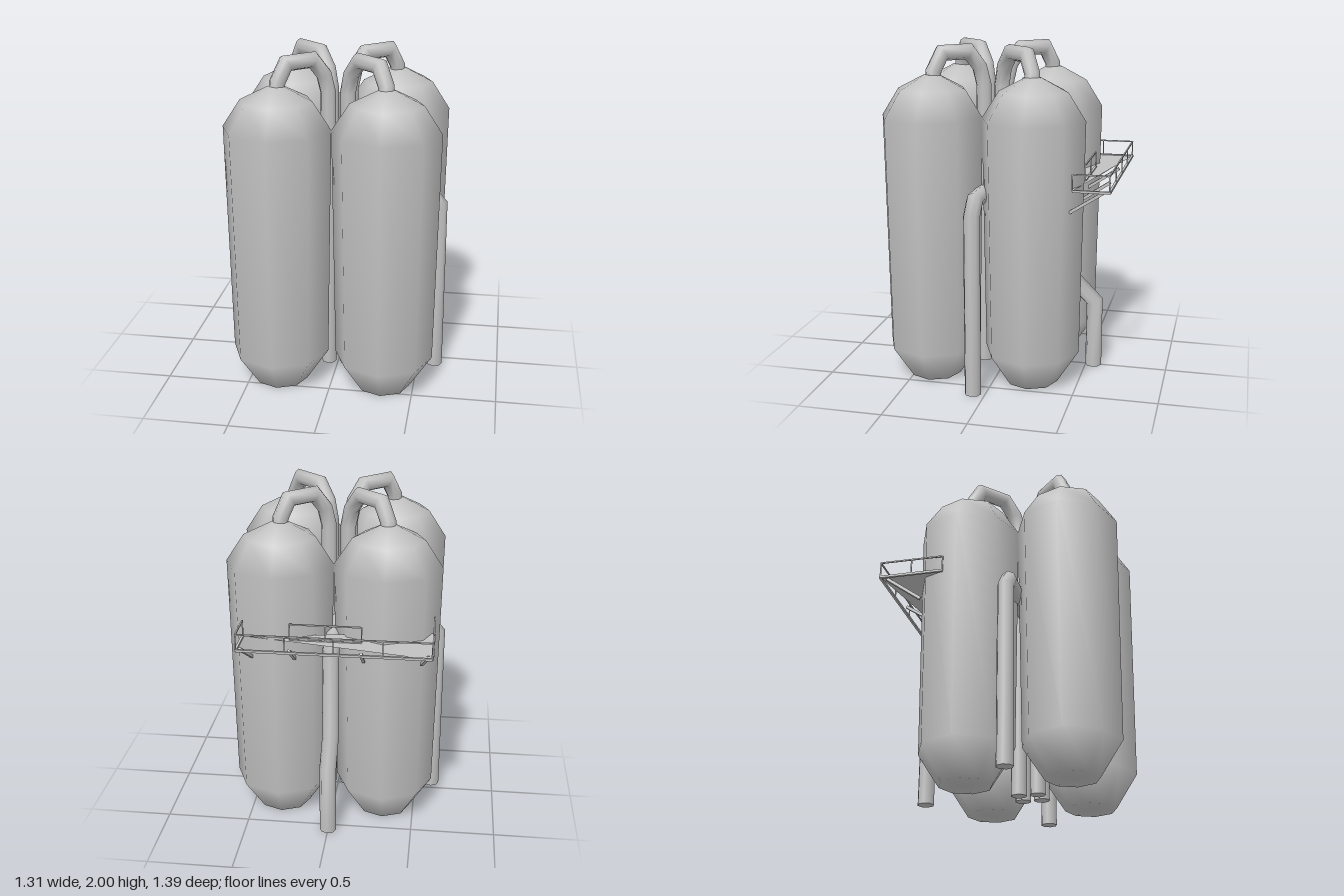
import * as THREE from 'three';

const V = (x, y, z) => new THREE.Vector3(x, y, z);
const grey = new THREE.MeshStandardMaterial({ color: 0xc0c0c0 });
grey.name = 'light grey steel';
const sheet = new THREE.MeshStandardMaterial({ color: 0xc0c0c0, side: THREE.DoubleSide });
sheet.name = 'light grey sheet';

function mesh(parent, name, geometry, material = grey) {
  const m = new THREE.Mesh(geometry, material);
  m.name = name;
  parent.add(m);
  return m;
}

// Mitred pipe along a path lying in one vertical plane with the given normal
function pipeGeometry(path, normal, radius, sides = 8) {
  const pos = [], index = [];
  const dirs = path.slice(1).map((p, i) => p.clone().sub(path[i]).normalize());
  const ring = (i) => {
    const a = dirs[Math.max(i - 1, 0)], b = dirs[Math.min(i, dirs.length - 1)];
    const t = a.clone().add(b).normalize();
    const across = t.clone().cross(normal).multiplyScalar(1 / t.dot(a));
    const start = pos.length / 3;
    for (let j = 0; j < sides; j++) {
      const ang = (j / sides) * Math.PI * 2;
      const p = path[i].clone()
        .addScaledVector(normal, Math.cos(ang) * radius)
        .addScaledVector(across, Math.sin(ang) * radius);
      pos.push(p.x, p.y, p.z);
    }
    return start;
  };
  const starts = path.map((_, i) => ring(i));
  for (let i = 0; i < path.length - 1; i++) {
    for (let j = 0; j < sides; j++) {
      const k = (j + 1) % sides, a = starts[i], b = starts[i + 1];
      index.push(a + j, a + k, b + k, a + j, b + k, b + j);
    }
  }
  // Flat caps with their own vertices
  const c0 = ring(0), c1 = ring(path.length - 1);
  for (let j = 1; j < sides - 1; j++) {
    index.push(c0, c0 + j + 1, c0 + j, c1, c1 + j, c1 + j + 1);
  }
  const g = new THREE.BufferGeometry();
  g.setAttribute('position', new THREE.Float32BufferAttribute(pos, 3));
  g.setIndex(index);
  g.computeVertexNormals();
  return g;
}

// Square bar between two points
function bar(parent, name, a, b, size) {
  const m = mesh(parent, name, new THREE.BoxGeometry(size, size, a.distanceTo(b)));
  m.position.copy(a).add(b).multiplyScalar(0.5);
  m.lookAt(b);
}

export function createModel() {
  const model = new THREE.Group();
  model.name = 'tankCluster';
  const midZ = 0.0825;

  // Four eight-sided tanks, each with a pipe looping from its top to the centre
  const profile = [[0, 0], [0.16, 0], [0.293, 0.2], [0.315, 1.59], [0.21, 1.75], [0.05, 1.83], [0, 1.835]]
    .map(([r, y]) => new THREE.Vector2(r, y));
  const tankGeometry = new THREE.LatheGeometry(profile, 8);
  const loop = [[0.312, 1.76], [0.308, 1.85], [0.265, 1.952], [0.135, 1.952], [0.08, 1.86], [0.058, 1.75], [0.058, 0]];
  for (const sx of [-1, 1]) {
    for (const sz of [-1, 1]) {
      const tank = mesh(model, 'tank', tankGeometry);
      tank.position.set(sx * 0.315, 0, midZ + sz * 0.3025);
      tank.scale.z = 0.305 / 0.315;
      const path = loop.map(([d, y]) => V(sx * d, y, midZ + sz * d * 0.95));
      const normal = V(-sz * 0.95, 0, sx).normalize();
      mesh(model, 'topPipe', pipeGeometry(path, normal, 0.046));
    }
  }

  // Side pipes running out between the tanks and down to the ground
  for (const sx of [-1, 1]) {
    const path = [[0.605, 0], [0.605, 1.07], [0.53, 1.15], [0.04, 1.15]].map(([x, y]) => V(sx * x, y, 0.073));
    mesh(model, 'sidePipe', pipeGeometry(path, V(0, 0, 1), 0.049));
  }

  // Back pipe with an outward step near the ground
  const backPath = [[-0.548, 0], [-0.548, 0.42], [-0.4, 0.57], [-0.4, 1.07], [-0.33, 1.15], [0.05, 1.15]]
    .map(([z, y]) => V(0, y, z));
  mesh(model, 'backPipe', pipeGeometry(backPath, V(1, 0, 0), 0.05));

  // Maintenance platform behind the rear tanks
  const platform = new THREE.Group();
  platform.name = 'platform';
  model.add(platform);
  const low = 1.225, high = 1.32, xL = -0.595, xR = 0.495, zB = -0.69;
  const floor = new THREE.BufferGeometry();
  floor.setAttribute('position', new THREE.Float32BufferAttribute(
    [xL, low, zB, xL, low, -0.32, xR, low, -0.48], 3));
  floor.computeVertexNormals();
  mesh(platform, 'platformFloor', floor, sheet);

  // Railings: each has a floor beam, a top rail and evenly spaced posts
  const railings = [
    [xL, zB, xR, zB, 4],
    [xL, zB, xL, -0.31, 2],
    [xR, zB, xR, -0.48, 1],
    [-0.19, -0.51, 0.22, -0.51, 2],
  ];
  for (const [x0, z0, x1, z1, bays] of railings) {
    bar(platform, 'floorBeam', V(x0, low, z0), V(x1, low, z1), 0.014);
    bar(platform, 'topRail', V(x0, high, z0), V(x1, high, z1), 0.008);
    for (let i = 0; i <= bays; i++) {
      const x = x0 + (x1 - x0) * i / bays, z = z0 + (z1 - z0) * i / bays;
      bar(platform, 'railPost', V(x, low, z), V(x, high, z), 0.007);
    }
  }

  // Diagonal struts under the platform
  for (const [top, foot] of [[-0.57, -0.53], [-0.2, -0.2], [0.2, 0.2], [0.48, 0.45]]) {
    bar(platform, 'strut', V(top, 1.22, -0.655), V(foot, 1.09, -0.46), 0.018);
  }
  return model;
}
